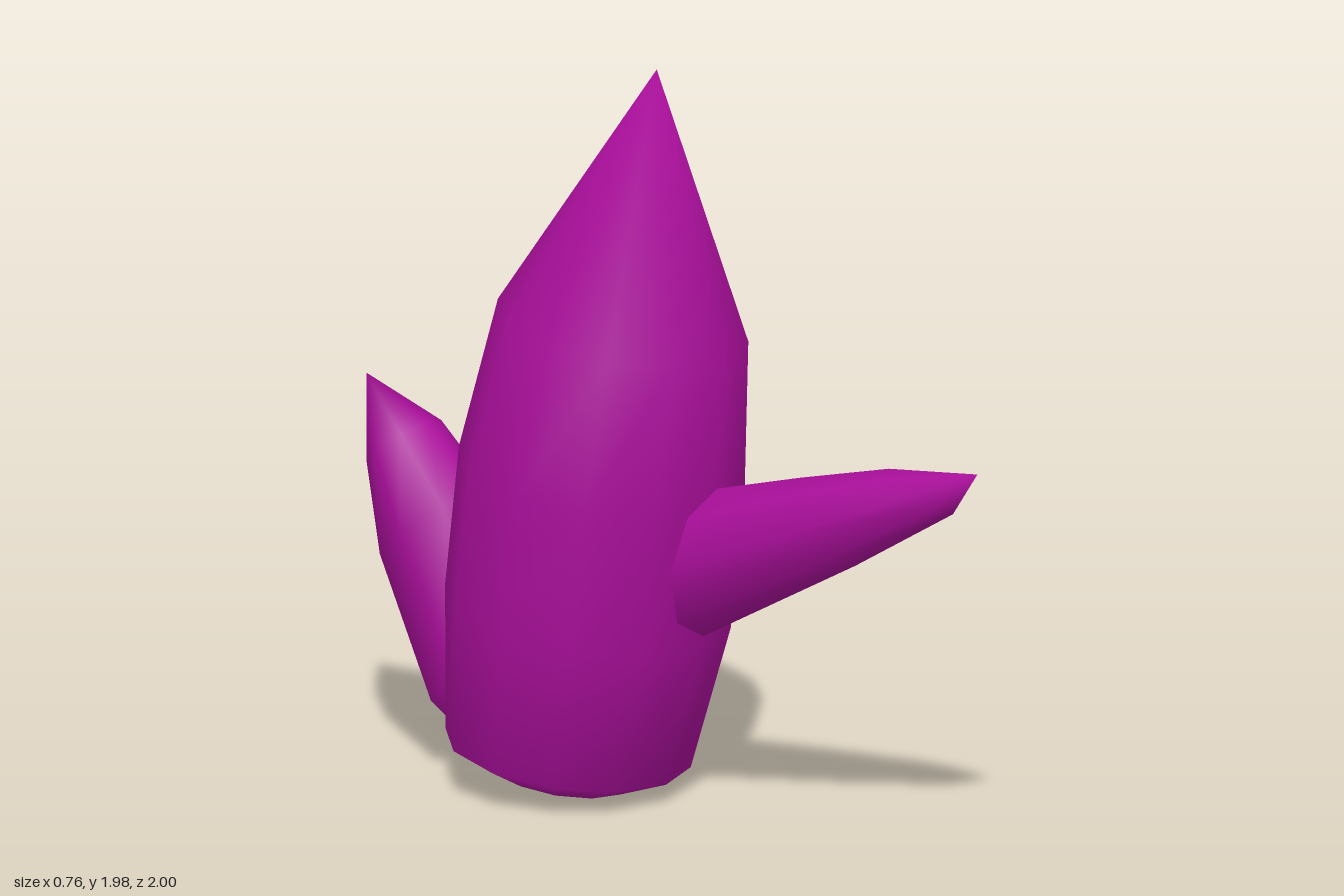
import * as THREE from 'three';

const material = new THREE.MeshStandardMaterial({ color: 0xaa0f9b });

// Lofts a pointed crystal, symmetric in x, through oval rings.
// Each ring: [zA, yA, zB, yB, halfWidth], A and B being its two ends in the x = 0 plane.
function crystal(name, sides, rings, tip) {
  const positions = [];
  const index = [];
  for (const [zA, yA, zB, yB, halfWidth] of rings) {
    for (let j = 0; j < sides; j++) {
      const a = (j / sides) * Math.PI * 2;
      const c = Math.cos(a) / 2;
      positions.push(
        Math.sin(a) * halfWidth,
        (yA + yB) / 2 + c * (yA - yB),
        (zA + zB) / 2 + c * (zA - zB)
      );
    }
  }
  // Base centre and tip
  const [zA, yA, zB, yB] = rings[0];
  const baseId = rings.length * sides;
  const tipId = baseId + 1;
  positions.push(0, (yA + yB) / 2, (zA + zB) / 2, 0, tip[1], tip[0]);

  const last = (rings.length - 1) * sides;
  for (let j = 0; j < sides; j++) {
    const k = (j + 1) % sides;
    for (let r = 0; r < last; r += sides) {
      index.push(r + j, r + k, r + sides + k, r + j, r + sides + k, r + sides + j);
    }
    index.push(baseId, k, j);
    index.push(last + j, last + k, tipId);
  }
  const geometry = new THREE.BufferGeometry();
  geometry.setAttribute('position', new THREE.Float32BufferAttribute(positions, 3));
  geometry.setIndex(index);
  geometry.computeVertexNormals();
  const mesh = new THREE.Mesh(geometry, material);
  mesh.name = name;
  return mesh;
}

export function createModel() {
  const group = new THREE.Group();
  group.name = 'crystalCluster';

  // Tall central crystal, leaning slightly forward
  group.add(crystal('mainCrystal', 12, [
    [-0.17, 0.0, -0.55, 0.06, 0.18],
    [-0.02, 0.05, -0.66, 0.15, 0.33],
    [0.1, 0.44, -0.65, 0.55, 0.38],
    [0.145, 0.81, -0.605, 0.93, 0.38],
    [0.17, 1.23, -0.49, 1.34, 0.33],
  ], [-0.05, 1.98]));

  // Slender crystal reaching out of the front
  group.add(crystal('frontCrystal', 8, [
    [-0.1, 0.4, -0.1, 0.8, 0.11],
    [0.1, 0.47, 0.1, 0.865, 0.13],
    [0.6, 0.74, 0.42, 0.95, 0.108],
    [0.92, 0.93, 0.71, 1.02, 0.077],
  ], [1.0, 1.05]));

  // Short broad crystal rising at the back
  group.add(crystal('backCrystal', 8, [
    [-0.42, 0.12, -0.68, 0.115, 0.1],
    [-0.4, 0.4, -0.75, 0.16, 0.17],
    [-0.63, 0.76, -0.915, 0.53, 0.157],
    [-0.8, 0.91, -0.955, 0.78, 0.127],
  ], [-1.0, 1.01]));

  return group;
}
